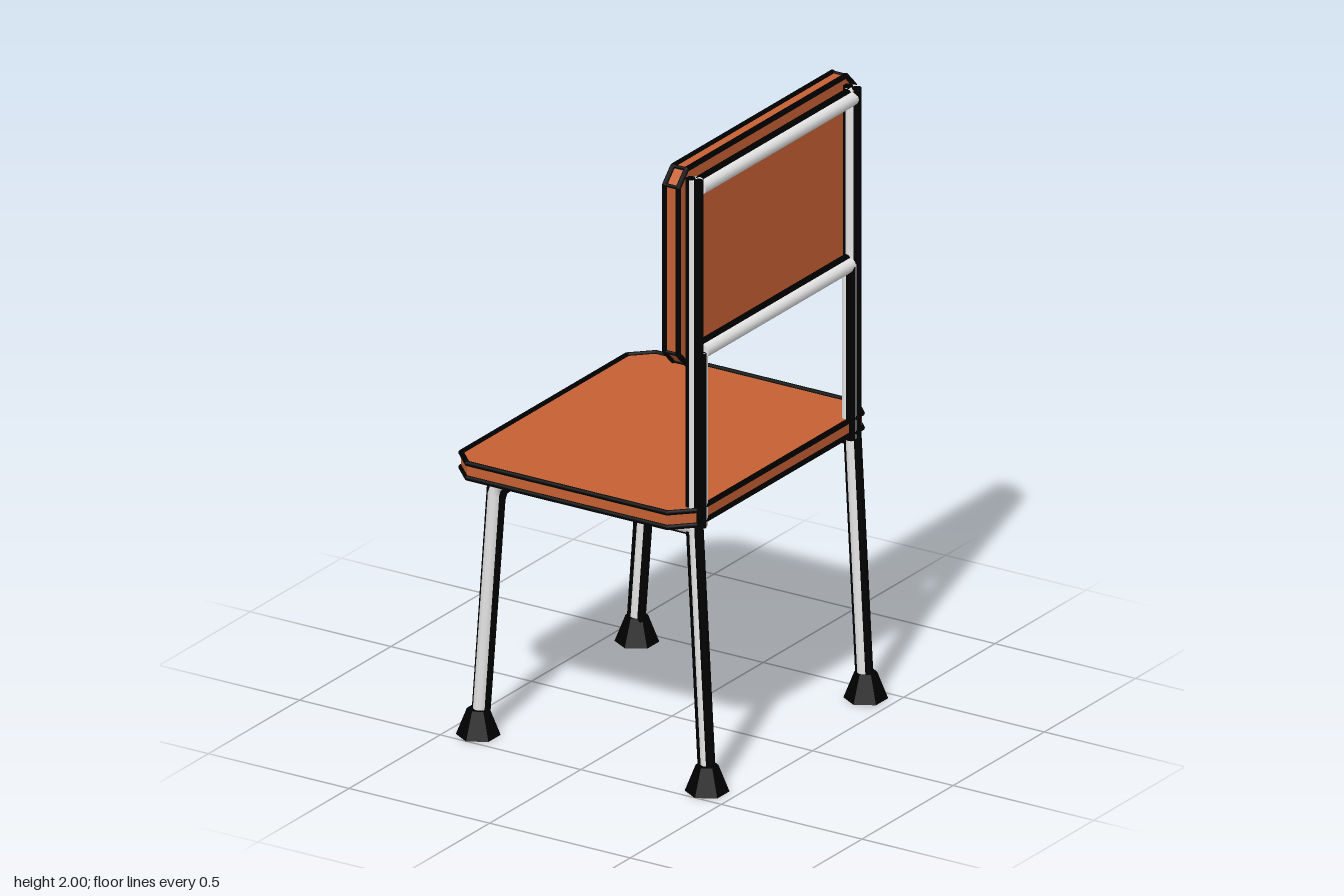
import * as THREE from 'three';

const material = (name, color) => Object.assign(new THREE.MeshStandardMaterial({ color }), { name });
const V = (x, y, z) => new THREE.Vector3(x, y, z);

export function createModel() {
  const chair = new THREE.Group();
  chair.name = 'chair';
  const wood = material('orange wood', 0xc66033);
  const metal = material('pale metal', 0xe6e6e6);
  const black = material('edge black', 0x000000);

  const add = (name, geometry, mat, parent = chair) => {
    const mesh = new THREE.Mesh(geometry, mat);
    mesh.name = name;
    parent.add(mesh);
  };

  // Straight rod between two points
  const rod = (from, to, r, sides = 12) => {
    const dir = to.clone().sub(from);
    const g = new THREE.CylinderGeometry(r, r, dir.length(), sides);
    g.applyQuaternion(new THREE.Quaternion().setFromUnitVectors(V(0, 1, 0), dir.normalize()));
    return g.translate(...from.clone().add(to).multiplyScalar(0.5).toArray());
  };

  // Board with cut corners and black piping along its edges, thickness along z
  const EDGE = 0.0085;
  const board = (name, w, h, depth, cut, corners) => {
    const group = new THREE.Group();
    group.name = name;
    const x = w / 2, y = h / 2, d = depth / 2;
    const outline = [
      [x - cut, -y], [x, -y + cut], [x, y - cut], [x - cut, y],
      [-x + cut, y], [-x, y - cut], [-x, -y + cut], [-x + cut, -y],
    ].map(([u, v]) => new THREE.Vector2(u, v));
    const panel = new THREE.ExtrudeGeometry(new THREE.Shape(outline), { depth, bevelEnabled: false });
    add(name + 'Panel', panel.translate(0, 0, -d), wood, group);
    outline.forEach((p, i) => {
      const q = outline[(i + 1) % outline.length];
      for (const z of [d, -d]) {
        add(name + 'Edge', rod(V(p.x, p.y, z), V(q.x, q.y, z), EDGE, 8), black, group);
        add(name + 'Joint', new THREE.SphereGeometry(EDGE, 8, 6).translate(p.x, p.y, z), black, group);
      }
      if (corners) add(name + 'Corner', rod(V(p.x, p.y, -d), V(p.x, p.y, d), 0.006, 8), black, group);
    });
    chair.add(group);
    return group;
  };

  // Seat and backrest
  const seat = board('seat', 0.836, 1.034, 0.047, 0.062, false);
  seat.rotation.x = -Math.PI / 2;
  seat.position.set(-0.037, 0.8825, 0);
  const backrest = board('backrest', 0.964, 0.628, 0.048, 0.045, true);
  backrest.rotation.y = Math.PI / 2;
  backrest.position.set(0.311, 1.677, 0);

  // Metal tube with black seams lying along it at the given offsets
  const R = 0.0225, SEAM = 0.015;
  const seamedRod = (name, from, to, offsets) => {
    add(name, rod(from, to, R), metal);
    for (const o of offsets) {
      add(name + 'Seam', rod(from.clone().add(o), to.clone().add(o), SEAM, 10), black);
    }
  };

  // Front leg bending into the side rail, moved inwards in the bend by d
  const legPath = (d, z) => {
    const path = new THREE.CurvePath();
    const a = V(-0.405 + d, 0.05, z), b = V(-0.35 + d, 0.785 - d, z);
    const c = V(-0.347 + d, 0.84 - d, z), e = V(-0.29 + d, 0.84 - d, z);
    path.add(new THREE.LineCurve3(a, b));
    path.add(new THREE.QuadraticBezierCurve3(b, c, e));
    path.add(new THREE.LineCurve3(e, V(0.363, 0.84 - d, z)));
    return path;
  };

  for (const s of [1, -1]) {
    const z = s * 0.43;
    const ankle = V(0.407, 0.05, z), hip = V(0.363, 0.85, z), top = V(0.363, 1.962, z);

    // Rear leg, upright and inner upright
    const seams = [V(0.016, 0.003, s > 0 ? 0.008 : 0.002), V(-0.016, 0.003, s > 0 ? 0.004 : 0)];
    seamedRod('rearLeg', ankle, hip, seams);
    seamedRod('upright', hip, top, seams);
    seamedRod('innerUpright', V(0.366, 0.84, s * 0.408), V(0.366, 1.4, s * 0.408),
      [V(0.012, 0, s > 0 ? 0.012 : 0.01)]);

    // Front leg and side rail
    add('frontLegAndRail', new THREE.TubeGeometry(legPath(0, z), 48, R, 12), metal);
    for (const d of [0.016, -0.016]) {
      add('frontLegAndRailSeam', new THREE.TubeGeometry(legPath(d, z - s * 0.005), 48, SEAM, 10), black);
    }

    // Six-sided rubber feet
    for (const x of [-0.407, 0.407]) {
      const foot = new THREE.CylinderGeometry(0.034, 0.067, 0.085, 6).toNonIndexed();
      foot.computeVertexNormals();
      add('foot', foot.translate(x, 0.0425, s * 0.435), black);
    }
  }

  // Cross bars behind the backrest
  const barSeams = [V(-0.012, 0.016, 0), V(-0.012, -0.016, 0)];
  seamedRod('topBar', V(0.37, 1.932, -0.42), V(0.37, 1.932, 0.42), barSeams);
  seamedRod('lowerBar', V(0.37, 1.4, -0.405), V(0.37, 1.4, 0.405), barSeams);

  return chair;
}
